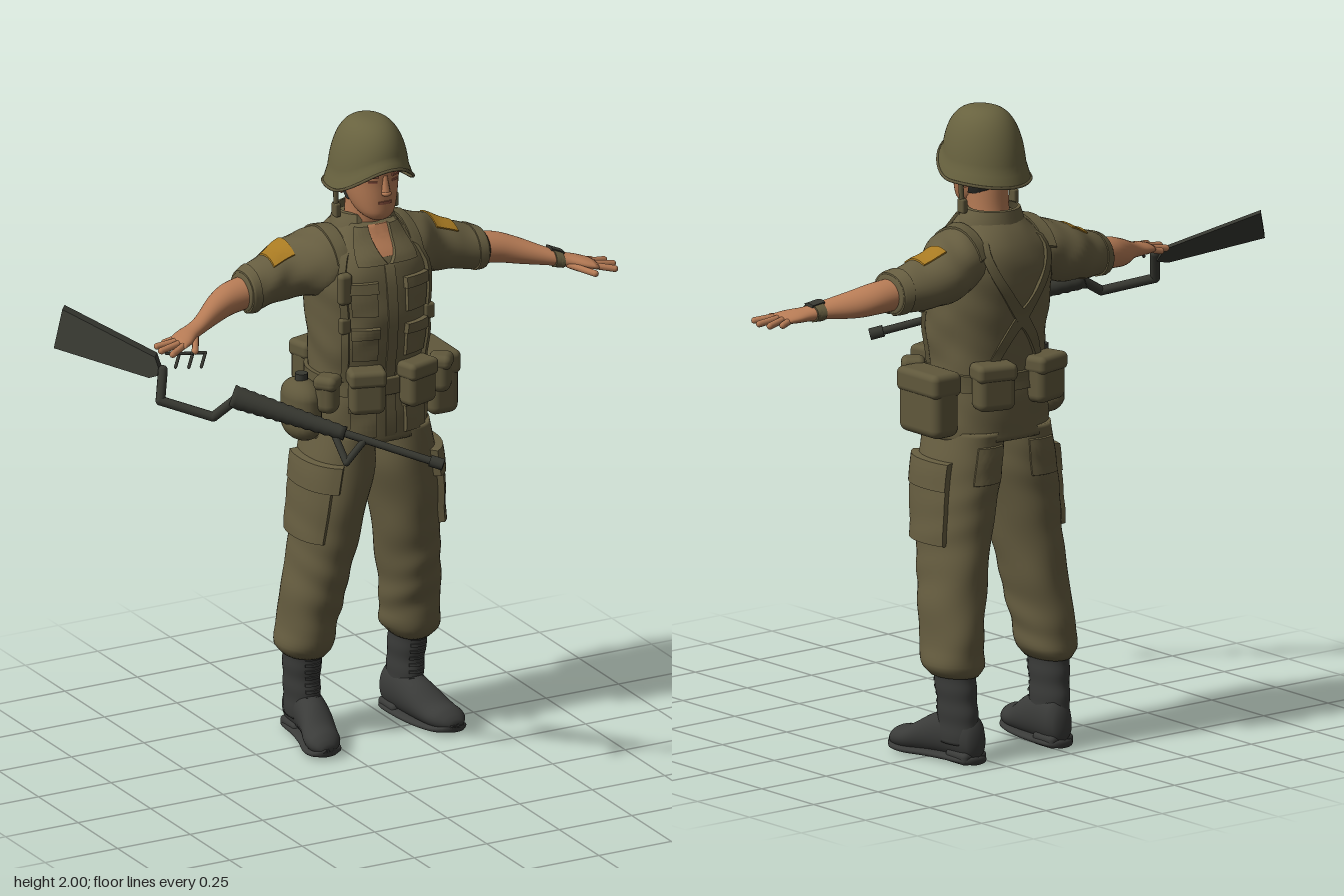
import * as THREE from 'three';
import { toCreasedNormals } from 'three/addons/utils/BufferGeometryUtils.js';
import { RoundedBoxGeometry } from 'three/addons/geometries/RoundedBoxGeometry.js';

const PI = Math.PI;
const V = (x, y, z) => new THREE.Vector3(x, y, z);
const paint = (name, color, side = THREE.FrontSide) => {
  const m = new THREE.MeshStandardMaterial({ color, side });
  m.name = name;
  return m;
};

// Smooth interpolation of cross-sections [t, a, b, ra, rb]
function section(S, t) {
  let i = 0;
  while (i < S.length - 2 && t > S[i + 1][0]) i++;
  const slope = (j, k) => {
    const p = S[Math.max(j - 1, 0)], n = S[Math.min(j + 1, S.length - 1)];
    return (n[k] - p[k]) / (n[0] - p[0]);
  };
  const h = S[i + 1][0] - S[i][0], f = (t - S[i][0]) / h, f2 = f * f, f3 = f2 * f;
  return [1, 2, 3, 4].map((k) => (2 * f3 - 3 * f2 + 1) * S[i][k] + (3 * f2 - 2 * f3) * S[i + 1][k]
    + h * ((f3 - 2 * f2 + f) * slope(i, k) + (f3 - f2) * slope(i + 1, k)));
}

// A tube-like surface along an axis: at(t, phi, offset) gives a point
function surface(axis, S, { e = 1, wrinkle = () => 0, minY = -9 } = {}) {
  const pw = (v) => Math.sign(v) * Math.abs(v) ** e;
  const at = (t, phi, off = 0, scale = 1) => {
    const [a, b, ra, rb] = section(S, t), w = 1 + wrinkle(t, phi);
    const p = a + (ra * w + off) * scale * pw(Math.cos(phi)), q = b + (rb * w + off) * scale * pw(Math.sin(phi));
    const v = axis === 'y' ? V(p, t, q) : axis === 'x' ? V(t, p, q) : V(p, q, t);
    v.y = Math.max(v.y, minY);
    return v;
  };
  return { at, flip: axis === 'y', t0: S[0][0], t1: S[S.length - 1][0] };
}

// Mesh over a grid of points; wrap joins the last column to the first
function grid(fn, nu, nv, wrap, flip) {
  const pos = [], idx = [], cols = wrap ? nu : nu + 1;
  for (let j = 0; j <= nv; j++) for (let i = 0; i < cols; i++) pos.push(...fn(i / nu, j / nv, i, j).toArray());
  for (let j = 0; j < nv; j++) for (let i = 0; i < nu; i++) {
    const a = j * cols + i, b = j * cols + (i + 1) % cols, c = a + cols, d = b + cols;
    if (flip) idx.push(a, c, b, b, c, d); else idx.push(a, b, c, b, d, c);
  }
  const g = new THREE.BufferGeometry();
  g.setAttribute('position', new THREE.Float32BufferAttribute(pos, 3));
  g.setIndex(idx);
  g.computeVertexNormals();
  return g;
}

// Closed body of a surface, with capped ends
const loft = (s, rows = 28, cols = 32) => grid((u, v, i, j) => {
  const k = Math.min(Math.max(j - 1, 0), rows) / rows;
  return s.at(s.t0 + (s.t1 - s.t0) * k, u * 2 * PI, 0, j === 0 || j === rows + 2 ? 0.001 : 1);
}, cols, rows + 2, true, s.flip);

// Raised cloth panel lying on a surface
function pad(s, t0, t1, p0, p1, thick, shear = 0, n = 14) {
  const ease = (i) => i === 0 ? 0 : i === n ? 1 : i === 1 ? 0.03 : i === n - 1 ? 0.97 : i / n;
  return toCreasedNormals(grid((u, v, i, j) => {
    const f = ease(j), edge = i === 0 || j === 0 || i === n || j === n;
    return s.at(t0 + (t1 - t0) * f, p0 + (p1 - p0) * ease(i) + shear * f, edge ? -0.004 : thick);
  }, n, n, false, s.flip), 0.7);
}

function mirrored(g) {
  const m = g.clone().applyMatrix4(new THREE.Matrix4().makeScale(-1, 1, 1));
  const src = g.index ? [...g.index.array] : [...Array(g.attributes.position.count).keys()];
  for (let i = 0; i < src.length; i += 3) [src[i], src[i + 1]] = [src[i + 1], src[i]];
  m.setIndex(src);
  return m;
}

// Stand a y-aligned geometry between two points
function between(g, a, b) {
  const q = new THREE.Quaternion().setFromUnitVectors(V(0, 1, 0), b.clone().sub(a).normalize());
  const mid = a.clone().add(b).multiplyScalar(0.5);
  return g.applyMatrix4(new THREE.Matrix4().compose(mid, q, V(1, 1, 1)));
}
const rod = (a, b, r, r2 = r, n = 10) => between(new THREE.CylinderGeometry(r2, r, a.distanceTo(b), n), a, b);
const capsule = (a, b, r) => between(new THREE.CapsuleGeometry(r, a.distanceTo(b), 4, 10), a, b);
const ball = (x, y, z, rx, ry, rz) => new THREE.SphereGeometry(1, 14, 10).scale(rx, ry, rz).translate(x, y, z);

export function createModel() {
  const model = new THREE.Group(), body = new THREE.Group(), rifle = new THREE.Group();
  body.name = 'soldier'; rifle.name = 'rifle';
  body.position.x = 0.14;
  model.add(body, rifle);
  const cloth = paint('olive cloth', 0x665d40, THREE.DoubleSide), gear = paint('webbing', 0x60583c);
  const shell = paint('helmet green', 0x68623f, THREE.DoubleSide), skin = paint('skin', 0xb67b55);
  const leather = paint('boot leather', 0x3a3b39), hair = paint('dark hair', 0x34342f);
  const metal = paint('gunmetal', 0x373831), ochre = paint('ochre patch', 0xa87a22), lip = paint('lips', 0x8f5440);
  const add = (name, g, mat, to = body) => {
    const m = new THREE.Mesh(g, mat);
    m.name = name;
    to.add(m);
  };
  const both = (name, g, mat) => { add(name + 'Left', g, mat); add(name + 'Right', mirrored(g), mat); };

  // Jacket
  const torso = surface('y', [[0.99, 0, -0.27, 0.19, 0.155], [1.1, 0, -0.27, 0.185, 0.155], [1.2, 0, -0.27, 0.175, 0.148],
    [1.3, 0, -0.265, 0.18, 0.16], [1.42, 0, -0.272, 0.185, 0.172], [1.52, 0, -0.28, 0.19, 0.168],
    [1.58, 0, -0.285, 0.17, 0.15], [1.63, 0, -0.29, 0.12, 0.115], [1.67, 0, -0.285, 0.085, 0.085]],
  { e: 0.84, wrinkle: (t, p) => 0.01 * Math.sin(34 * t + 2 * Math.sin(3 * p)) + 0.006 * Math.sin(61 * t - 5 * p) });
  add('jacket', loft(torso, 48, 48), cloth);
  add('placket', pad(torso, 1.0, 1.57, PI / 2 - 0.06, PI / 2 + 0.06, 0.005), cloth);
  add('openNeck', pad(torso, 1.58, 1.668, PI / 2 - 0.38, PI / 2 + 0.38, 0.002), skin);
  both('lapel', pad(torso, 1.56, 1.668, PI / 2 - 0.5, PI / 2, 0.011, -0.3), cloth);
  for (const [t0, t1] of [[1.405, 1.515], [1.26, 1.37], [1.01, 1.13]]) {
    both('jacketPocket', pad(torso, t0, t1 - 0.01, 0.9, 1.38, 0.009), cloth);
    both('pocketFlap', pad(torso, t1 - 0.035, t1, 0.88, 1.4, 0.015), cloth);
  }
  const collar = surface('y', [[1.63, 0, -0.285, 0.105, 0.1], [1.665, 0, -0.29, 0.093, 0.089], [1.695, 0, -0.297, 0.079, 0.077]]);
  add('collar', pad(collar, 1.63, 1.695, PI / 2 + 0.5, PI * 2.5 - 0.5, 0.006, 0, 24), cloth);

  // Sleeves with shoulder patches
  const sleeve = surface('x', [[0.05, 1.555, -0.29, 0.1, 0.1], [0.16, 1.54, -0.3, 0.1, 0.125], [0.24, 1.52, -0.335, 0.09, 0.1],
    [0.32, 1.5, -0.325, 0.076, 0.085], [0.4, 1.484, -0.305, 0.064, 0.074], [0.414, 1.484, -0.305, 0.056, 0.066]],
  { wrinkle: (t, p) => 0.025 * Math.sin(60 * t + 2 * Math.sin(2 * p)) });
  both('sleeve', loft(sleeve, 36), cloth);
  both('sleeveCuff', pad(sleeve, 0.375, 0.408, PI, 3 * PI, 0.005, 0, 24), cloth);
  both('shoulderPatch', pad(sleeve, 0.243, 0.32, -0.45, 0.75, 0.004), ochre);

  // Arms and hands
  const arm = surface('x', [[0.36, 1.485, -0.31, 0.05, 0.058], [0.46, 1.475, -0.295, 0.048, 0.055],
    [0.52, 1.462, -0.27, 0.042, 0.05], [0.6, 1.445, -0.215, 0.027, 0.036], [0.64, 1.436, -0.193, 0.022, 0.036],
    [0.68, 1.43, -0.17, 0.019, 0.048], [0.715, 1.424, -0.152, 0.014, 0.048]]);
  both('forearmAndPalm', loft(arm), skin);
  const fingers = [[0.7, -0.19, 0.735, -0.196], [0.71, -0.168, 0.77, -0.178], [0.715, -0.145, 0.778, -0.137],
    [0.71, -0.122, 0.762, -0.094], [0.645, -0.165, 0.69, -0.085]];
  for (const [x0, z0, x1, z1] of fingers) both('finger', capsule(V(x0, 1.425, z0), V(x1, 1.416, z1), 0.0105), skin);
  add('watchStrap', pad(arm, 0.605, 0.63, PI, 3 * PI, 0.005, 0, 20), gear);
  add('watchFace', pad(arm, 0.6, 0.635, -0.5, 0.5, 0.009), metal);

  // Neck, head and face
  add('neck', loft(surface('y', [[1.6, 0, -0.29, 0.07, 0.075], [1.68, 0, -0.275, 0.063, 0.068], [1.77, 0, -0.265, 0.063, 0.075]])), skin);
  const head = surface('y', [[1.69, 0, -0.2, 0.03, 0.035], [1.705, 0, -0.21, 0.05, 0.058], [1.74, 0, -0.232, 0.068, 0.084],
    [1.8, 0, -0.25, 0.081, 0.102], [1.88, 0, -0.255, 0.085, 0.107], [1.95, 0, -0.26, 0.06, 0.08]], { e: 0.92 });
  add('head', loft(head), skin);
  add('hair', pad(head, 1.735, 1.86, PI + 0.25, 2 * PI - 0.25, 0.007), hair);
  add('nose', rod(V(0, 1.783, -0.143), V(0, 1.838, -0.15), 0.014, 0.007, 10), skin);
  add('noseTip', ball(0, 1.783, -0.14, 0.016, 0.009, 0.013), skin);
  add('mouth', pad(head, 1.746, 1.756, PI / 2 - 0.28, PI / 2 + 0.28, 0.003), lip);
  add('chin', ball(0, 1.714, -0.168, 0.026, 0.018, 0.016), skin);
  both('eye', pad(head, 1.815, 1.823, 0.95, 1.3, 0.002), lip);
  both('brow', pad(head, 1.834, 1.841, 0.85, 1.35, 0.005), lip);
  both('ear', ball(0.086, 1.79, -0.27, 0.012, 0.032, 0.02), skin);

  // Helmet, its rim rising toward the front
  const dome = (u, v) => {
    const p = u * 2 * PI, s = Math.sin(p), a = v * PI / 2;
    const rim = s > 0 ? 1.785 + 0.085 * s * s : 1.785 - 0.012 * s * s;
    const r = Math.max(Math.cos(a), 0) ** 0.7, flare = 0.012 * Math.max(0, 1 - v * 7);
    return V((0.12 * r + flare) * Math.cos(p), rim + (2 - rim) * Math.sin(a), -0.257 + (0.142 * r + flare) * s);
  };
  add('helmet', grid((u, v) => dome(u, 1 - (1 - v) ** 1.5), 48, 32, true, true), shell);
  add('helmetRim', new THREE.TubeGeometry(new THREE.CatmullRomCurve3(
    Array.from({ length: 32 }, (_, i) => dome(i / 32, 0)), true), 96, 0.005, 6, true), gear);
  both('chinStrap', rod(V(0.105, 1.81, -0.27), V(0.1, 1.69, -0.275), 0.008), gear);
  both('strapBuckle', new RoundedBoxGeometry(0.02, 0.045, 0.03, 2, 0.006).translate(0.1, 1.705, -0.275), gear);

  // Trousers with cargo pockets
  const leg = surface('y', [[0.27, 0.183, -0.335, 0.06, 0.085], [0.3, 0.183, -0.33, 0.083, 0.106], [0.36, 0.178, -0.322, 0.084, 0.108],
    [0.5, 0.163, -0.3, 0.088, 0.12], [0.62, 0.145, -0.285, 0.092, 0.128], [0.75, 0.128, -0.275, 0.098, 0.14],
    [0.88, 0.108, -0.27, 0.107, 0.148], [1.02, 0.09, -0.27, 0.095, 0.148]],
  { e: 0.92, wrinkle: (t, p) => Math.max(0.25, 1.25 - 1.3 * t)
    * (0.03 * Math.sin(47 * t + 2.5 * Math.sin(p + 9 * t)) + 0.025 * Math.sin(29 * t + 3 * p)) });
  both('trouserLeg', loft(leg, 60, 40), cloth);
  both('cargoPocket', pad(leg, 0.67, 0.86, -0.5, 0.95, 0.02), cloth);
  both('cargoFlap', pad(leg, 0.84, 0.93, -0.5, 1.15, 0.024), cloth);
  both('hipPocket', pad(leg, 0.86, 0.98, -2.0, -1.1, 0.006), cloth);

  // Boots
  const foot = [[-0.435, 0.168, 0.065, 0.028, 0.04], [-0.41, 0.168, 0.08, 0.045, 0.07], [-0.33, 0.172, 0.085, 0.05, 0.075],
    [-0.25, 0.185, 0.07, 0.055, 0.062], [-0.18, 0.205, 0.048, 0.058, 0.042], [-0.13, 0.215, 0.043, 0.05, 0.034],
    [-0.102, 0.22, 0.036, 0.026, 0.016]];
  const shaft = surface('y', [[0.06, 0.175, -0.35, 0.05, 0.08], [0.14, 0.178, -0.35, 0.05, 0.077],
    [0.2, 0.18, -0.347, 0.052, 0.074], [0.3, 0.183, -0.335, 0.058, 0.08]],
  { wrinkle: (t) => 0.02 * Math.sin(90 * t) });
  both('bootFoot', loft(surface('z', foot, { minY: 0.012 })), leather);
  both('bootShaft', loft(shaft), leather);
  both('bootSole', loft(surface('z', foot.map(([z, x, , r]) => [z, x, 0.014 + Math.max(0, z + 0.15) * 0.2, r + 0.004, 0.013]),
    { e: 0.8 })), leather);
  both('bootHeel', new RoundedBoxGeometry(0.092, 0.04, 0.1, 3, 0.015).translate(0.169, 0.02, -0.378), leather);
  for (let i = 0; i < 7; i++) {
    const y = 0.13 + i * 0.022;
    both('bootLace', pad(shaft, y, y + 0.01, PI / 2 - 0.5, PI / 2 + 0.5, 0.005, 0, 8), leather);
  }

  // Belt and shoulder straps
  add('belt', pad(torso, 1.145, 1.2, PI / 2, PI * 2.5, 0.012, 0, 40), gear);
  add('buckle', new RoundedBoxGeometry(0.055, 0.055, 0.016, 2, 0.004).translate(0, 1.172, -0.11), gear);
  both('frontStrap', pad(torso, 1.18, 1.6, 0.7, 0.85, 0.012), gear);
  both('shoulderStrap', pad(sleeve, 0.108, 0.148, -1.4, 1.4, 0.006), gear);
  both('backStrap', pad(torso, 1.18, 1.62, -2.28, -2.08, 0.008, 1.4, 24), gear);
  add('chestDressing', new RoundedBoxGeometry(0.045, 0.1, 0.035, 3, 0.014).translate(-0.145, 1.5, -0.14), gear);
  both('strapClip', new RoundedBoxGeometry(0.035, 0.05, 0.025, 2, 0.008).translate(0.145, 1.38, -0.14), gear);

  // Belt pouches: x, y, z, width, height, depth, turn, rounding
  const addPouch = (put, name, x, y, z, w, h, d, turn, r) => {
    const place = (g) => g.rotateY(turn).translate(x, y, z);
    put(name, place(new RoundedBoxGeometry(w, h, d, 4, r)), gear);
    put(name + 'Flap', place(new RoundedBoxGeometry(w + 0.006, h * 0.38, d + 0.009, 4, r * 0.7).translate(0, h * 0.32, 0)), gear);
  };
  addPouch(both, 'ammoPouch', 0.088, 1.172, -0.105, 0.11, 0.14, 0.07, 0.3, 0.022);
  addPouch(both, 'hipPouch', 0.195, 1.165, -0.155, 0.07, 0.12, 0.065, 0.9, 0.028);
  addPouch(both, 'backPouch', 0.1, 1.17, -0.425, 0.125, 0.145, 0.08, PI - 0.25, 0.025);
  addPouch(add, 'sidePouch', 0.225, 1.112, -0.268, 0.19, 0.2, 0.1, PI / 2, 0.028);
  add('canteen', new THREE.CapsuleGeometry(0.055, 0.085, 8, 20).scale(1, 1, 1.55).translate(-0.242, 1.1, -0.235), gear);
  add('canteenCap', rod(V(-0.242, 1.18, -0.235), V(-0.242, 1.215, -0.235), 0.02), metal);

  // Rifle in an upright plane turned toward the front; d leans a point out of that plane
  const K = 1.28, R = (x, y, d = 0) => V(x * K + d * 0.625, y, d * 0.78);
  rifle.position.z = 0.44;
  rifle.rotation.y = -Math.atan(0.8);
  const part = (name, g) => add(name, g, metal, rifle);
  const outline = [[-0.918, 1.43], [-0.69, 1.353], [-0.655, 1.36], [-0.655, 1.405], [-0.86, 1.527]];
  const stock = new THREE.ExtrudeGeometry(new THREE.Shape(outline.map(([x, y]) => new THREE.Vector2(x, y))),
    { depth: 0.04, bevelEnabled: false }).translate(0, 0, -0.02);
  const sp = stock.attributes.position;
  for (let i = 0; i < sp.count; i++) {
    const x = sp.getX(i), y = sp.getY(i), bottom = 1.35 - (x + 0.69) * 0.333;
    const p = R(x, y, -0.85 * (y - bottom));
    sp.setXYZ(i, p.x, p.y, p.z + sp.getZ(i));
  }
  stock.computeVertexNormals();
  part('stock', stock);
  const frame = [R(-0.66, 1.375), R(-0.685, 1.29, 0.05), R(-0.56, 1.25, 0.055), R(-0.48, 1.3)];
  for (let i = 0; i < 3; i++) part('frameBar', capsule(frame[i], frame[i + 1], 0.015));
  const ribs = [[0.001, -0.18]];
  for (let i = 0; i <= 24; i++) ribs.push([0.037 - i * 0.0006 - (i % 2) * 0.003, -0.18 + i * 0.015]);
  ribs.push([0.001, 0.18]);
  part('handguard', between(new THREE.LatheGeometry(ribs.map(([r, y]) => new THREE.Vector2(r, y)), 16), R(-0.49, 1.303), R(-0.225, 1.207)));
  part('barrel', rod(R(-0.24, 1.213), R(0.01, 1.126), 0.012));
  part('muzzle', rod(R(-0.018, 1.136), R(0.014, 1.125), 0.018));
  const sight = [R(-0.175, 1.19), R(-0.242, 1.13, 0.06), R(-0.248, 1.2)];
  for (let i = 0; i < 2; i++) part('sightBar', capsule(sight[i], sight[i + 1], 0.011));

  // Loose trigger parts under the right hand
  for (const [x, z] of [[-0.59, -0.09], [-0.555, -0.07], [-0.52, -0.055]]) {
    add('triggerPart', capsule(V(x, 1.41, z - 0.02), V(x - 0.025, 1.375, z), 0.005), metal, model);
    add('triggerLink', capsule(V(x, 1.41, z - 0.02), V(x - 0.04, 1.412, z - 0.03), 0.005), metal, model);
  }
  return model;
}
